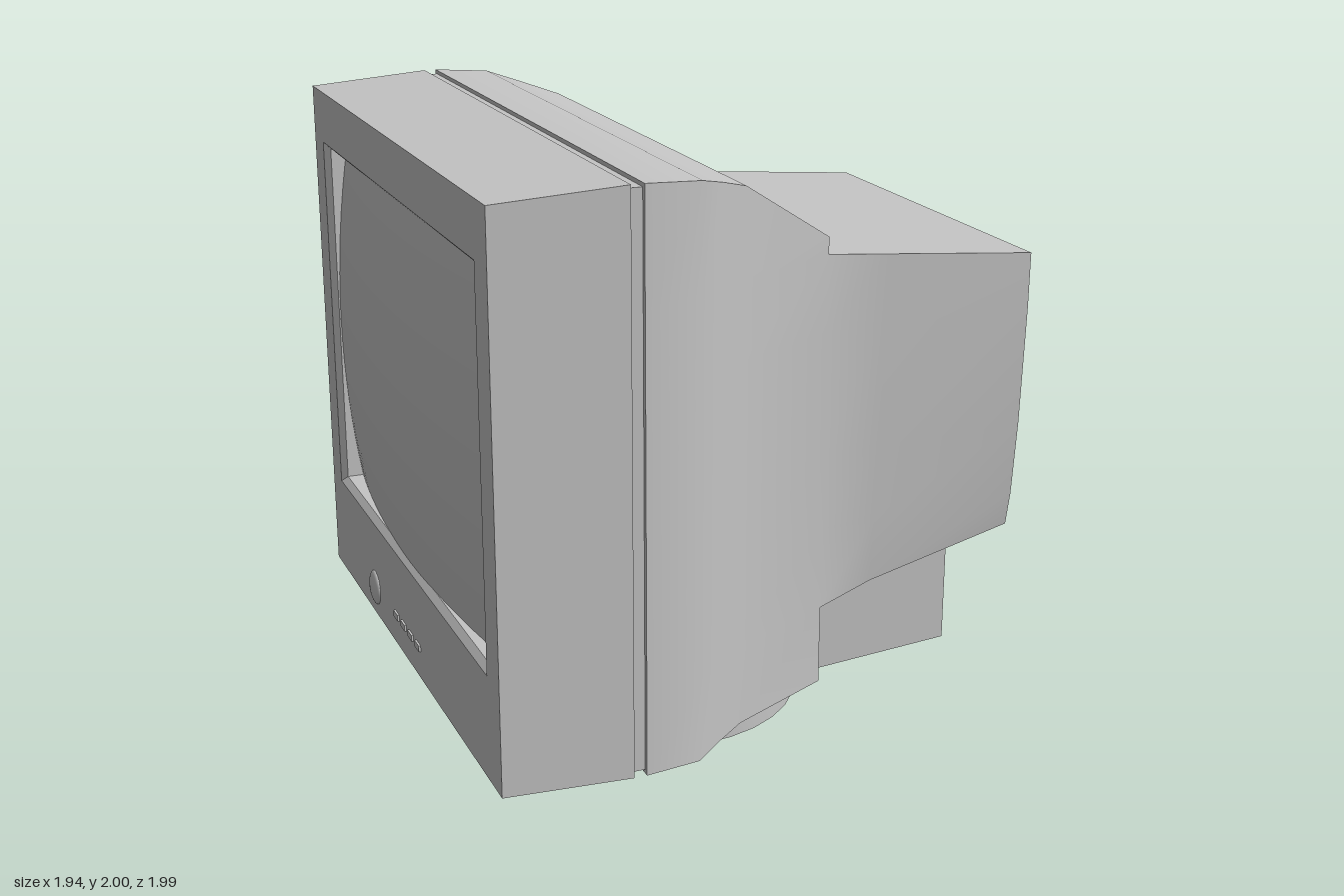
import * as THREE from 'three';
import { toCreasedNormals } from 'three/addons/utils/BufferGeometryUtils.js';

// Skin over rings of [x,y,z] points; each ring runs up the +z side and down the -z side.
function loft(rings, capStart, capEnd) {
  const pos = [];
  const tri = (a, b, c) => pos.push(...a, ...b, ...c);
  for (let s = 0; s < rings.length - 1; s++) {
    const a = rings[s], b = rings[s + 1], n = a.length;
    for (let i = 0; i < n; i++) {
      const j = (i + 1) % n;
      tri(a[i], b[i], b[j]);
      tri(a[i], b[j], a[j]);
    }
  }
  const first = rings[0], last = rings[rings.length - 1];
  for (let i = 1; i < first.length - 1; i++) {
    if (capStart) tri(first[0], first[i], first[i + 1]);
    if (capEnd) tri(last[0], last[i + 1], last[i]);
  }
  const g = new THREE.BufferGeometry();
  g.setAttribute('position', new THREE.Float32BufferAttribute(pos, 3));
  return toCreasedNormals(g, 0.75);
}

// Mirrored ring from [y, halfWidth] rows listed bottom to top
const ring = (x, rows) => [
  ...rows.map(([y, z]) => [x, y, z]),
  ...rows.slice().reverse().map(([y, z]) => [x, y, -z]),
];
const rect = (x, y0, y1, z) => ring(x, [[y0, z], [y1, z]]);

export function createModel() {
  const model = new THREE.Group();
  const plastic = new THREE.MeshStandardMaterial({ color: 0xc4c4c4 });
  plastic.name = 'grey plastic';
  const add = (name, geometry, x = 0, y = 0, z = 0) => {
    const m = new THREE.Mesh(geometry, plastic);
    m.name = name;
    m.position.set(x, y, z);
    model.add(m);
    return m;
  };

  // Front frame with a recessed opening
  add('bezel', loft([
    rect(-0.82, 0.58, 1.78, 0.84),
    rect(-0.915, 0.58, 1.78, 0.84),
    rect(-0.935, 0.56, 1.80, 0.86),
    rect(-0.935, 0.22, 1.975, 0.975),
    rect(-0.53, 0.21, 2.0, 0.993),
  ], false, true));

  // Bulging tube face
  const glass = new THREE.PlaneGeometry(1.70, 1.22, 20, 16);
  const p = glass.attributes.position;
  for (let i = 0; i < p.count; i++) {
    const u = p.getX(i), v = p.getY(i);
    const x = -0.972 + 0.037 * ((v / 0.51) ** 2 + (u / 0.65) ** 2);
    p.setXYZ(i, x, v, u);
  }
  glass.computeVertexNormals();
  add('screen', glass, 0, 1.18, 0);

  // Seam between frame and rear shell
  add('seam', new THREE.BoxGeometry(0.06, 1.765, 1.955), -0.51, 1.105, 0);

  // Rear shell flowing into the tube housing
  const shell = (x, bottom, top, z) =>
    ring(x, [bottom, 0.48, 0.75, 1.0, 1.4, 1.645, top].map((y) => [y, z]));
  const housing = (x, bottom, top, widths) => {
    const ys = [bottom, bottom, 0.75, 1.0, 1.4, top, top];
    return ring(x, ys.map((y, i) => [y, widths[i]]));
  };
  add('rearShell', loft([
    shell(-0.49, 0.21, 2.0, 0.993),
    shell(-0.31, 0.21, 1.988, 0.97),
    shell(-0.21, 0.212, 1.957, 0.885),
    shell(-0.10, 0.214, 1.92, 0.80),
    shell(0.25, 0.22, 1.70, 0.64),
    housing(0.25, 0.48, 1.645, Array(7).fill(0.64)),
    housing(0.45, 0.523, 1.627, [0.595, 0.595, 0.612, 0.63, 0.64, 0.64, 0.64]),
    housing(0.965, 0.635, 1.58, [0.575, 0.575, 0.597, 0.62, 0.638, 0.64, 0.64]),
  ], true, true));

  // Connector box under the housing, with a recessed rear panel
  add('connectorBox', loft([
    rect(0.2, 0.217, 0.475, 0.56),
    rect(0.75, 0.255, 0.59, 0.56),
    rect(0.75, 0.30, 0.54, 0.51),
    rect(0.725, 0.30, 0.54, 0.51),
  ], true, true));

  // Swivel stand
  const profile = [[0, 0], [0.513, 0], [0.513, 0.055], [0.35, 0.115], [0.31, 0.115],
    [0.31, 0.142], [0.33, 0.142], [0.33, 0.165], [0, 0.165]];
  const stand = new THREE.LatheGeometry(profile.map(([r, y]) => new THREE.Vector2(r, y)), 32);
  add('swivelStand', toCreasedNormals(stand.toNonIndexed(), 0.3), -0.095, 0, 0);
  add('standMount', new THREE.BoxGeometry(0.615, 0.055, 0.91), -0.1225, 0.1925, 0);

  // Power button and control keys
  const knob = add('powerButton', new THREE.SphereGeometry(0.06, 24, 16), -0.935, 0.32, -0.42);
  knob.scale.x = 0.3;
  for (let i = 0; i < 4; i++) {
    add('controlKey', new THREE.BoxGeometry(0.012, 0.022, 0.05), -0.936, 0.33, -0.14 + i * 0.085);
  }
  return model;
}
